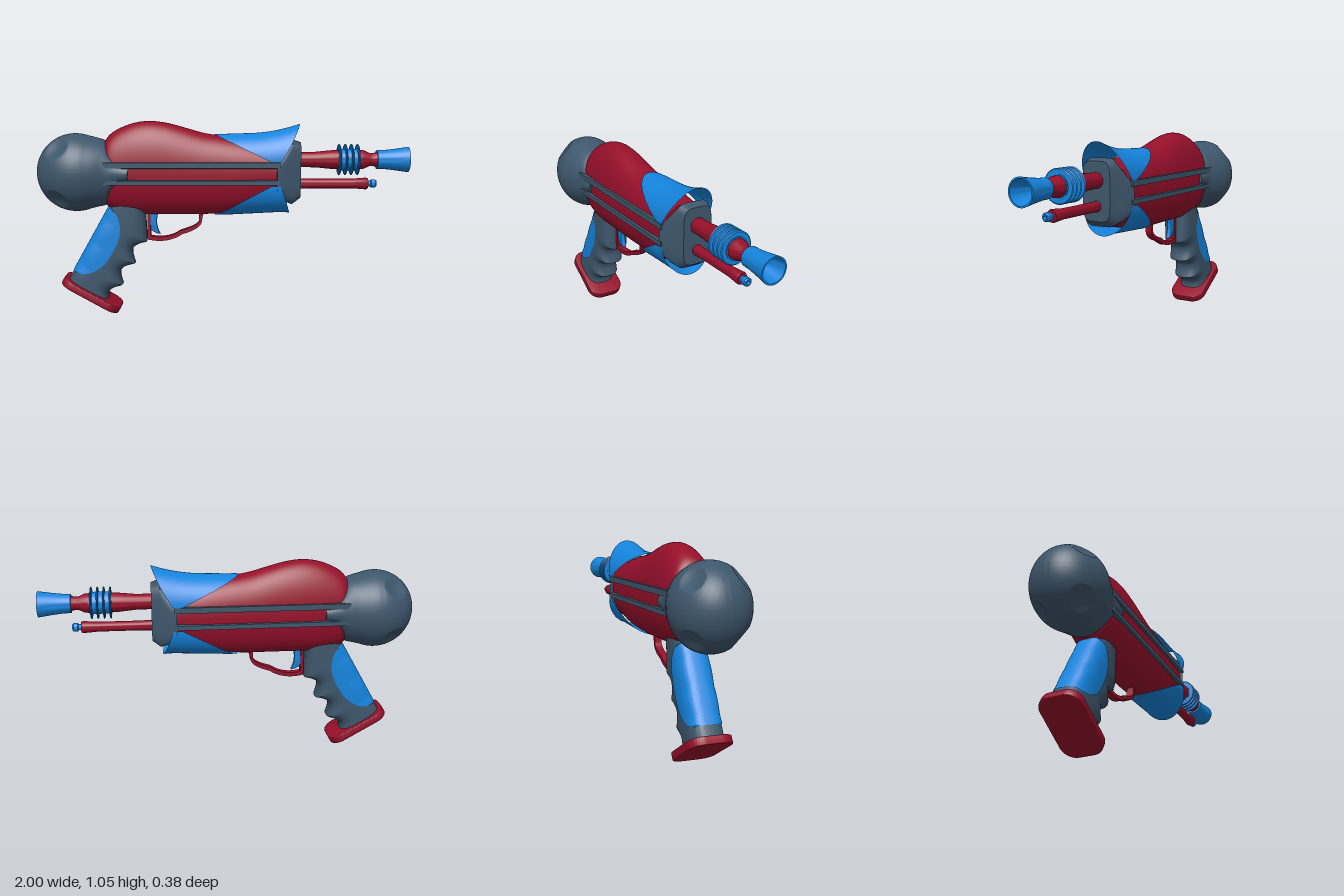
import * as THREE from 'three';
import { toCreasedNormals } from 'three/addons/utils/BufferGeometryUtils.js';

const mat = (color) => new THREE.MeshStandardMaterial({ color, side: THREE.DoubleSide });
const RED = mat(0x960f2a), GREY = mat(0x3d566b), BLUE = mat(0x1484dd);

// Skin a list of rings (arrays of [x, y, z]); closed rings get end caps.
function loft(rings, closed = true, crease = 0.6) {
  const n = rings[0].length, pos = rings.flat(2), index = [];
  for (let i = 0; i < rings.length - 1; i++) {
    for (let j = 0; j < (closed ? n : n - 1); j++) {
      const k = (j + 1) % n, a = i * n + j, b = i * n + k;
      index.push(a, b, a + n, b, b + n, a + n);
    }
  }
  if (closed) {
    [0, rings.length - 1].forEach((r) => {
      const c = pos.length / 3;
      for (let d = 0; d < 3; d++) pos.push(rings[r].reduce((s, p) => s + p[d], 0) / n);
      for (let j = 0; j < n; j++) {
        const a = r * n + j, b = r * n + (j + 1) % n;
        if (r === 0) index.push(c, b, a); else index.push(c, a, b);
      }
    });
  }
  const g = new THREE.BufferGeometry();
  g.setAttribute('position', new THREE.Float32BufferAttribute(pos, 3));
  g.setIndex(index);
  g.computeVertexNormals();
  return toCreasedNormals(g, crease);
}

// Point on a superellipse of power p: [cos-like, sin-like]
const soft = (v, p) => Math.sign(v) * Math.abs(v) ** (2 / p);
const oval = (a, p) => [soft(Math.cos(a), p), soft(Math.sin(a), p)];
const circle = (n, fn) => Array.from({ length: n }, (_, i) => fn((i / n) * Math.PI * 2));
const steps = (n, from, to) => Array.from({ length: n + 1 }, (_, i) => from + ((to - from) * i) / n);

// Hull along x from stations [x, top, bottom, halfWidth], smoothed by a spline
function hull(stations, p, midY, samples) {
  const tops = new THREE.CatmullRomCurve3(stations.map((s) => new THREE.Vector3(s[0], s[1], 0)));
  const lows = new THREE.CatmullRomCurve3(stations.map((s) => new THREE.Vector3(s[0], s[2], s[3])));
  return loft(steps(samples, 0, 1).map((t) => {
    const a = tops.getPoint(t), b = lows.getPoint(t);
    return circle(56, (ang) => {
      const [c, s] = oval(ang, p);
      return [b.x, midY + c * (c > 0 ? a.y - midY : midY - b.y), s * b.z];
    });
  }));
}

// Turned part along x from a profile of [x, radius]
function turned(profile) {
  const g = new THREE.LatheGeometry(profile.map(([x, r]) => new THREE.Vector2(r, x)), 40);
  return toCreasedNormals(g.rotateZ(-Math.PI / 2), 0.6);
}

function slab(shape, depth, bevel = 0) {
  const g = new THREE.ExtrudeGeometry(shape, {
    depth: depth - 2 * bevel, bevelEnabled: bevel > 0, bevelThickness: bevel,
    bevelSize: bevel, bevelOffset: -bevel, bevelSegments: 3, curveSegments: 16,
  });
  return toCreasedNormals(g.translate(0, 0, bevel - depth / 2), 0.6);
}

// Rear ball with four shallow scooped dimples
function ballGeometry() {
  const g = new THREE.SphereGeometry(1, 128, 96), p = g.attributes.position;
  const v = new THREE.Vector3(), dirs = [];
  for (const y of [1, -1]) for (const z of [1, -1]) dirs.push(new THREE.Vector3(-0.4, 0.65 * y, 0.62 * z).normalize());
  for (let i = 0; i < p.count; i++) {
    v.fromBufferAttribute(p, i);
    const c = Math.max(...dirs.map((d) => d.dot(v)));
    v.multiplyScalar(1 - 2 * Math.max(0, c - Math.cos(0.33)));
    p.setXYZ(i, v.x * 0.21, v.y * 0.21, v.z * 0.19);
  }
  return toCreasedNormals(g, 0.4);
}

// Flared hood hugging the body; dir = 1 above, -1 below
function hoodGeometry(dir, baseY, rise, frontX) {
  const rows = steps(24, 0, 1).map((t) => steps(40, -Math.PI / 2, Math.PI / 2).map((a) => {
    const c = Math.cos(a), back = -0.045 + 0.3 * (1 - c), front = frontX - (frontX - 0.305) * (1 - c);
    const x = back + (front - back) * t;
    const h = rise(x);
    return [x, baseY + dir * h * c, 0.14 * Math.sin(a)];
  }));
  return loft(rows, false);
}

export function createModel() {
  const model = new THREE.Group();
  const add = (name, geo, material, parent = model) => {
    const m = new THREE.Mesh(geo, material);
    m.name = name;
    parent.add(m);
    return m;
  };

  // Rear ball and the collar that joins it to the body
  add('rearBall', ballGeometry(), GREY).position.set(-0.79, 0.777, 0);
  add('collar', hull([[-0.74, 0.98, 0.574, 0.185], [-0.68, 0.965, 0.59, 0.168], [-0.625, 0.945, 0.605, 0.148],
    [-0.57, 0.88, 0.675, 0.143], [-0.5, 0.845, 0.715, 0.141]], 2, 0.777, 24), GREY);

  // Main shell
  add('bodyShell', hull([[-0.635, 0.94, 0.61, 0.1], [-0.6, 0.985, 0.575, 0.118], [-0.5, 1.035, 0.553, 0.127],
    [-0.4, 1.052, 0.55, 0.13], [-0.3, 1.042, 0.55, 0.13], [-0.2, 1.016, 0.55, 0.13], [-0.1, 0.988, 0.55, 0.13],
    [0, 0.973, 0.555, 0.13], [0.12, 0.955, 0.565, 0.13], [0.3, 0.92, 0.6, 0.125]], 2.2, 0.78, 50), RED);

  // Side rails: one bar through the body, grooved on both sides
  const rail = new THREE.Shape();
  rail.moveTo(-0.142, 0.72).lineTo(0.142, 0.72).lineTo(0.142, 0.744);
  rail.absarc(0.142, 0.777, 0.033, -Math.PI / 2, Math.PI / 2, true);
  rail.lineTo(0.142, 0.84).lineTo(-0.142, 0.84).lineTo(-0.142, 0.81);
  rail.absarc(-0.142, 0.777, 0.033, Math.PI / 2, -Math.PI / 2, true);
  add('sideRails', slab(rail, 0.93).rotateY(Math.PI / 2), GREY).position.x = -0.165;

  // Nose block
  const nose = [[0.285, 0.845, 0.655, 0.142], [0.33, 0.9, 0.625, 0.125], [0.37, 0.955, 0.608, 0.1], [0.415, 0.94, 0.64, 0.08]];
  add('noseBlock', loft(nose.map(([x, top, low, w]) => circle(48, (a) => {
    const [c, s] = oval(a, 5);
    return [x, (top + low) / 2 + (c * (top - low)) / 2, s * w];
  })), true, 0.45), GREY);

  // Upper and lower hoods
  add('upperHood', hoodGeometry(1, 0.84, (x) => 0.143 + 0.03 * Math.max(0, x) + 0.6 * Math.max(0, x - 0.15) ** 2, 0.412), BLUE);
  add('lowerHood', hoodGeometry(-1, 0.715, (x) => 0.17 - 0.05 * Math.max(0, x) + 1.2 * Math.max(0, x - 0.29) ** 2, 0.36), BLUE);

  // Main barrel with cooling rings and flared muzzle
  const barrel = new THREE.Group();
  barrel.name = 'mainBarrel';
  barrel.position.y = 0.845;
  model.add(barrel);
  add('barrelTube', turned([[0.38, 0.04], [0.5, 0.042], [0.58, 0.05], [0.63, 0.052], [0.73, 0.052], [0.76, 0.05],
    [0.79, 0.036], [0.81, 0.035], [0.84, 0.042]]), RED, barrel);
  add('ringCore', turned([[0.62, 0.05], [0.62, 0.058], [0.735, 0.058], [0.735, 0.05]]), BLUE, barrel);
  for (const x of [0.627, 0.66, 0.693, 0.726]) {
    add('coolingRing', turned([[x - 0.005, 0.05], [x - 0.004, 0.08], [x, 0.085], [x + 0.004, 0.08], [x + 0.005, 0.05]]), BLUE, barrel);
  }
  add('muzzle', turned([[0.83, 0.03], [0.83, 0.05], [0.87, 0.051], [0.93, 0.058], [1, 0.068], [1, 0.06],
    [0.93, 0.045], [0.86, 0.025]]), BLUE, barrel);
  add('bore', turned([[0.855, 0], [0.865, 0.027], [0.866, 0]]), GREY, barrel);

  // Thin lower barrel
  const lower = new THREE.Group();
  lower.name = 'lowerBarrel';
  lower.position.y = 0.715;
  model.add(lower);
  add('lowerTube', turned([[0.38, 0.029], [0.48, 0.026], [0.7, 0.026], [0.775, 0.032], [0.785, 0.028], [0.785, 0]]), RED, lower);
  add('lowerTip', turned([[0.78, 0.016], [0.8, 0.016], [0.803, 0.022], [0.825, 0.022], [0.832, 0.016], [0.832, 0.009], [0.815, 0]]), BLUE, lower);

  // Grip: local x runs to the front edge, local -y runs down the handle
  const grip = new THREE.Group();
  grip.name = 'grip';
  grip.position.set(-0.63, 0.57, 0);
  grip.rotation.z = -0.517;
  model.add(grip);
  const frontEdge = (s) => s < 0.04 ? 0.183 + (s + 0.104) * 0.62
    : 0.275 - 0.05 * Math.abs(Math.sin((Math.PI * (s - 0.04)) / 0.14));
  const gripPoint = (s, a, out) => {
    const h = frontEdge(s) / 2, [c, d] = oval(a, 3);
    return [h + c * (h + out), -s, d * (0.083 + out)];
  };
  add('handle', loft(steps(72, -0.15, 0.43).map((s) => circle(48, (a) => gripPoint(s, a, 0)))), GREY, grip);
  add('gripPanel', loft(steps(48, -0.06, 0.372).map((s) => {
    const h = frontEdge(s) / 2;
    const edge = 0.14 * Math.sqrt(Math.max(0, 1 - Math.abs((s - 0.17) / 0.204) ** 2.4));
    const q = THREE.MathUtils.clamp((edge - h) / h, -1, 1);
    const reach = Math.PI - Math.acos(Math.sign(q) * Math.abs(q) ** 1.5);
    return steps(32, Math.PI - reach, Math.PI + reach).map((a) => gripPoint(s, a, 0.004));
  }), false), BLUE, grip);

  // Base plate with rounded corners
  const plate = new THREE.Shape(), r = 0.07, w = 0.108, x0 = -0.025, x1 = 0.325;
  plate.absarc(x1 - r, w - r, r, 0, Math.PI / 2);
  plate.absarc(x0 + r, w - r, r, Math.PI / 2, Math.PI);
  plate.absarc(x0 + r, r - w, r, Math.PI, Math.PI * 1.5);
  plate.absarc(x1 - r, r - w, r, Math.PI * 1.5, Math.PI * 2);
  add('basePlate', slab(plate, 0.04, 0.004).rotateX(Math.PI / 2), RED, grip).position.y = -0.446;

  // Trigger guard and trigger
  const guard = new THREE.Shape();
  guard.moveTo(-0.41, 0.575).lineTo(-0.41, 0.41).quadraticCurveTo(-0.3, 0.385, -0.22, 0.44);
  guard.quadraticCurveTo(-0.11, 0.47, -0.113, 0.52).lineTo(-0.1, 0.575);
  const gap = new THREE.Path();
  gap.moveTo(-0.393, 0.558).lineTo(-0.129, 0.558).lineTo(-0.129, 0.515);
  gap.quadraticCurveTo(-0.135, 0.485, -0.23, 0.46).quadraticCurveTo(-0.3, 0.41, -0.393, 0.43);
  guard.holes.push(gap);
  add('triggerGuard', slab(guard, 0.038), RED);
  const trigger = new THREE.Shape();
  trigger.moveTo(-0.395, 0.565).lineTo(-0.395, 0.47).quadraticCurveTo(-0.38, 0.445, -0.342, 0.44);
  trigger.quadraticCurveTo(-0.375, 0.5, -0.348, 0.565);
  add('trigger', slab(trigger, 0.028, 0.004), BLUE);

  return model;
}
